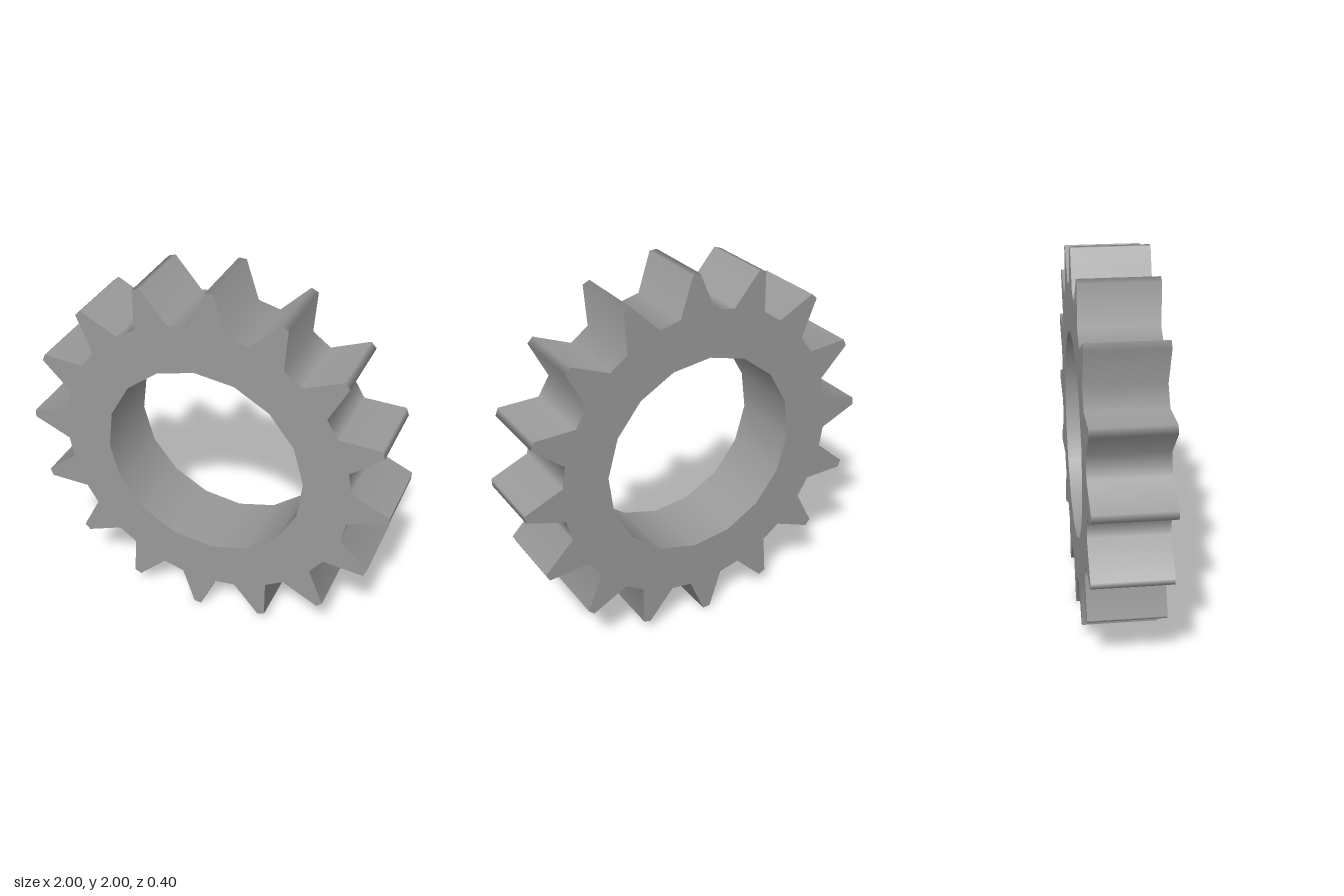
import * as THREE from 'three';

const TEETH = 16, HALF = 0.2;
const TIP_R = 1.0, ROOT_R = 0.8, HOLE_R = 0.55;

// point at a radius and a clockwise angle (degrees) from straight up
function polar(radius, degrees) {
  const a = THREE.MathUtils.degToRad(degrees);
  return new THREE.Vector2(radius * Math.sin(a), radius * Math.cos(a));
}

// smooth wall through the thickness along a closed loop, facing the loop's right-hand side
function wallGeometry(loop) {
  const positions = [], normals = [], index = [];
  const n = loop.length;
  loop.forEach((p, i) => {
    // normal blends both neighbouring faces, weighted by their length
    const before = loop[(i + n - 1) % n], after = loop[(i + 1) % n];
    const normal = new THREE.Vector2(after.y - before.y, before.x - after.x).normalize();
    for (const z of [-HALF, HALF]) {
      positions.push(p.x, p.y, z);
      normals.push(normal.x, normal.y, 0);
    }
    const a = 2 * i, b = 2 * ((i + 1) % n);
    index.push(a, b, b + 1, a, b + 1, a + 1);
  });
  const geometry = new THREE.BufferGeometry();
  geometry.setAttribute('position', new THREE.Float32BufferAttribute(positions, 3));
  geometry.setAttribute('normal', new THREE.Float32BufferAttribute(normals, 3));
  geometry.setIndex(index);
  return geometry;
}

export function createModel() {
  const outline = [], bore = [];
  const step = 360 / TEETH;
  for (let i = 0; i < TEETH; i++) {
    // tapered tooth with a narrow flat tip, straight valley to the next one
    const a = 2.3 + i * step;
    outline.push(polar(ROOT_R, a - 7), polar(TIP_R, a - 1.2), polar(TIP_R, a + 1.2), polar(ROOT_R, a + 7));
    // sixteen-sided bore, clockwise so that its wall faces the centre
    bore.push(polar(HOLE_R, -4.5 + i * step));
  }
  outline.reverse(); // counter-clockwise, so that the toothed wall faces outwards

  // flat faces
  const shape = new THREE.Shape(outline);
  shape.holes.push(new THREE.Path(bore));
  const front = new THREE.ShapeGeometry(shape).translate(0, 0, HALF);
  const back = front.clone().scale(1, 1, -1);
  back.setIndex([...back.index.array].reverse());

  const group = new THREE.Group();
  group.name = 'gear';
  const material = new THREE.MeshStandardMaterial({ color: 0x999999 });
  const parts = {
    frontFace: front,
    backFace: back,
    toothedRim: wallGeometry(outline),
    boreWall: wallGeometry(bore),
  };
  for (const [name, geometry] of Object.entries(parts)) {
    const mesh = new THREE.Mesh(geometry, material);
    mesh.name = name;
    mesh.position.y = 1;
    group.add(mesh);
  }
  return group;
}
